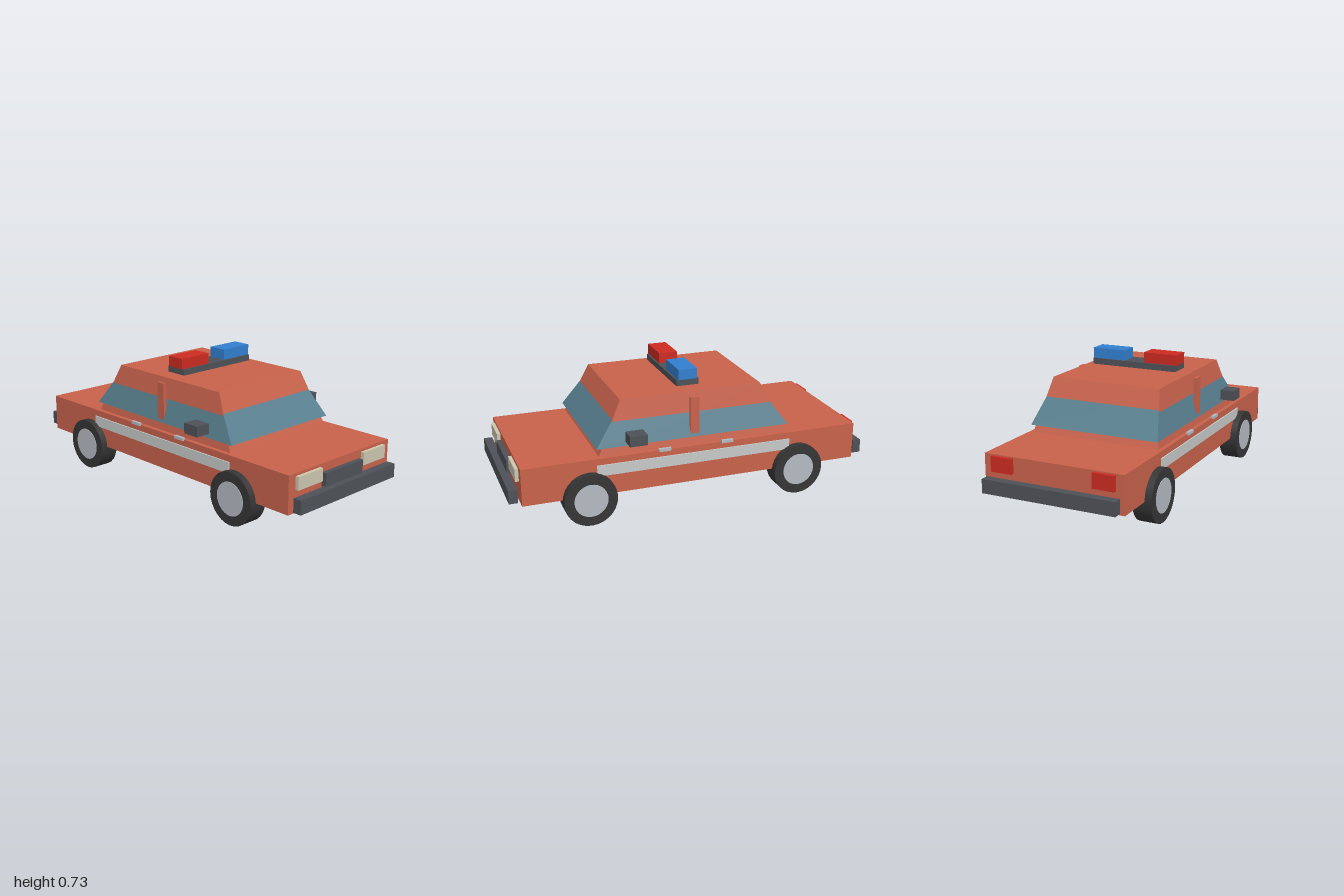
import * as THREE from 'three';

function mat(name, color) {
  const m = new THREE.MeshStandardMaterial({ color });
  m.name = name;
  return m;
}

export function createModel() {
  const car = new THREE.Group();
  car.name = 'patrolCar';

  const paint = mat('bodyPaint', 0xc8624b);
  const glass = mat('windowGlass', 0x587f8f);
  const dark = mat('darkTrim', 0x4e5157);
  const rubber = mat('tyreRubber', 0x353535);
  const metal = mat('hubMetal', 0xb4bac2);
  const white = mat('sideStripe', 0xc6cac8);
  const lamp = mat('headlampGlass', 0xcbc7b0);
  const red = mat('redLens', 0xcc2b22);
  const blue = mat('blueLens', 0x327fd0);

  const add = (name, geometry, material) => {
    const m = new THREE.Mesh(geometry, material);
    m.name = name;
    car.add(m);
    return m;
  };

  // Box given by its lower and upper limits on each axis
  const box = (name, material, x0, x1, y0, y1, z0, z1) => {
    const m = add(name, new THREE.BoxGeometry(x1 - x0, y1 - y0, z1 - z0), material);
    m.position.set((x0 + x1) / 2, (y0 + y1) / 2, (z0 + z1) / 2);
    return m;
  };

  // Box mirrored to both sides of the car
  const pair = (name, material, x0, x1, ...rest) => {
    box(name + 'Left', material, x0, x1, ...rest);
    box(name + 'Right', material, -x1, -x0, ...rest);
  };

  // Tapered block: half width and half length at the bottom and the top
  const taper = (name, material, y0, x0, z0, y1, x1, z1) => {
    const g = new THREE.BoxGeometry(2, 2, 2);
    const p = g.attributes.position;
    for (let i = 0; i < p.count; i++) {
      const top = p.getY(i) > 0;
      p.setXYZ(i, p.getX(i) * (top ? x1 : x0), top ? y1 : y0, p.getZ(i) * (top ? z1 : z0));
    }
    g.computeVertexNormals();
    return add(name, g, material);
  };

  // Body and cabin; the glass block flares out of the cabin walls
  box('body', paint, -0.387, 0.387, 0.15, 0.352, -0.937, 0.937);
  taper('cabin', paint, 0.35, 0.363, 0.526, 0.63, 0.31, 0.392);
  taper('windows', glass, 0.395, 0.367, 0.538, 0.57, 0.3165, 0.411);
  pair('doorPillar', paint, 0.343, 0.362, 0.4, 0.612, -0.025, 0.025);

  // Side trim
  pair('sideStripe', white, 0.386, 0.394, 0.257, 0.316, -0.54, 0.544);
  pair('frontDoorHandle', metal, 0.38, 0.396, 0.346, 0.362, 0.142, 0.21);
  pair('rearDoorHandle', metal, 0.38, 0.396, 0.346, 0.362, -0.207, -0.14);
  pair('mirror', dark, 0.377, 0.459, 0.423, 0.479, 0.292, 0.386);

  // Nose and tail
  box('frontBumper', dark, -0.368, 0.368, 0.164, 0.238, 0.953, 1);
  box('rearBumper', dark, -0.368, 0.368, 0.164, 0.238, -1, -0.953);
  box('grille', dark, -0.144, 0.144, 0.232, 0.307, 0.93, 0.964);
  pair('headlight', lamp, 0.16, 0.338, 0.268, 0.337, 0.93, 0.956);
  pair('tailLight', red, 0.222, 0.341, 0.266, 0.346, -0.956, -0.93);

  // Roof lights
  box('lightBar', dark, -0.248, 0.248, 0.642, 0.675, -0.062, 0.062);
  box('redBeacon', red, -0.253, -0.059, 0.675, 0.732, -0.052, 0.052);
  box('blueBeacon', blue, 0.057, 0.251, 0.675, 0.732, -0.052, 0.052);

  // Wheels: each hub runs through its tyre and shows on both faces
  const tyre = new THREE.CylinderGeometry(0.142, 0.142, 0.104, 28).rotateZ(Math.PI / 2);
  const hub = new THREE.CylinderGeometry(0.09, 0.09, 0.11, 28).rotateZ(Math.PI / 2);
  for (const [side, x] of [['Left', 0.372], ['Right', -0.372]]) {
    for (const [end, z] of [['front', 0.587], ['rear', -0.587]]) {
      add(end + 'Tyre' + side, tyre, rubber).position.set(x, 0.142, z);
      add(end + 'Hub' + side, hub, metal).position.set(x, 0.142, z);
    }
  }

  return car;
}
